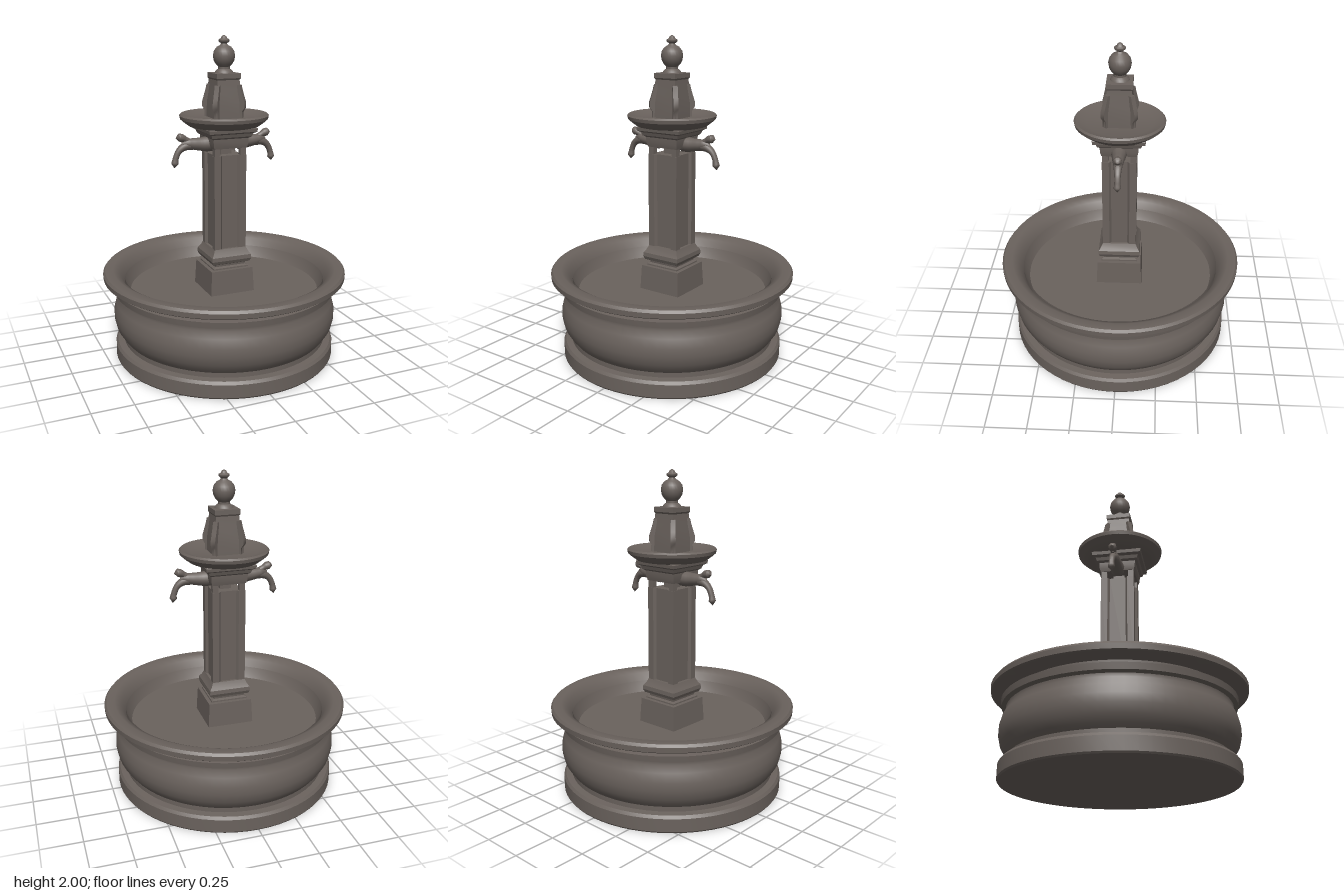
import * as THREE from 'three';
import { toCreasedNormals } from 'three/addons/utils/BufferGeometryUtils.js';

const stone = new THREE.MeshStandardMaterial({ color: 0x6a625d });
stone.name = 'weathered stone';

const v2 = (pts) => pts.map(([x, y]) => new THREE.Vector2(x, y));

function part(name, geometry, crease = 0.6) {
  const mesh = new THREE.Mesh(toCreasedNormals(geometry, crease), stone);
  mesh.name = name;
  return mesh;
}

// Round part turned from [radius, height] pairs
const turned = (name, pts, segments = 48) => part(name, new THREE.LatheGeometry(v2(pts), segments));

// Square part from [half width, height] pairs
function square(name, pts) {
  const g = new THREE.LatheGeometry(v2(pts.map(([h, y]) => [h * Math.SQRT2, y])), 4);
  g.rotateY(Math.PI / 4);
  return part(name, g, 0.5);
}

// Tube along a curve whose radius follows a list of evenly spaced values
function taperedTube(name, points, radii, steps = 24, sides = 10) {
  const curve = new THREE.CatmullRomCurve3(points.map(([x, y]) => new THREE.Vector3(x, y, 0)));
  const g = new THREE.TubeGeometry(curve, steps, 1, sides);
  const p = g.attributes.position;
  const v = new THREE.Vector3();
  for (let i = 0; i < p.count; i++) {
    const t = Math.floor(i / (sides + 1)) / steps;
    const k = Math.min(t * (radii.length - 1), radii.length - 1.0001);
    const a = Math.floor(k);
    const r = THREE.MathUtils.lerp(radii[a], radii[a + 1], k - a);
    const c = curve.getPointAt(t);
    v.fromBufferAttribute(p, i).sub(c).multiplyScalar(r).add(c);
    p.setXYZ(i, v.x, v.y, v.z);
  }
  return part(name, g, 1.2);
}

function createBasin() {
  const basin = new THREE.Group();
  basin.name = 'basin';
  basin.add(
    turned('basinBase', [[0, 0], [0.69, 0], [0.697, 0.01], [0.697, 0.09], [0.685, 0.107], [0.6, 0.115]], 64),
    turned('basinBody', [
      [0.6, 0.108], [0.645, 0.11], [0.645, 0.14], [0.665, 0.165], [0.69, 0.205], [0.703, 0.26],
      [0.702, 0.31], [0.688, 0.365], [0.668, 0.405], [0.67, 0.425], [0.695, 0.435],
      [0.7, 0.472], [0.63, 0.477], [0.632, 0.52]], 64),
    turned('basinRim', [
      [0.62, 0.512], [0.75, 0.512], [0.762, 0.52], [0.764, 0.55], [0.752, 0.565], [0.7, 0.567],
      [0.66, 0.545], [0.632, 0.495]], 64),
    turned('basinInterior', [[0.632, 0.495], [0.612, 0.45], [0.595, 0.425], [0, 0.42]], 64),
  );
  return basin;
}

function createColumn() {
  const column = new THREE.Group();
  column.name = 'column';
  column.add(
    square('plinth', [[0.145, 0.415], [0.137, 0.575], [0.1, 0.578], [0, 0.578]]),
    square('columnFoot', [
      [0.115, 0.57], [0.115, 0.585], [0.098, 0.592], [0.1, 0.605], [0.122, 0.615], [0.131, 0.635],
      [0.129, 0.66], [0.115, 0.68], [0.104, 0.705], [0, 0.705]]),
  );

  // Shaft with a recessed panel on each face
  const outline = [];
  for (let i = 0; i < 4; i++) {
    for (const [x, y] of [[0.104, -0.104], [0.104, -0.062], [0.088, -0.05], [0.088, 0.05], [0.104, 0.062]]) {
      outline.push(new THREE.Vector2(x, y).rotateAround(new THREE.Vector2(), i * Math.PI / 2));
    }
  }
  const shaft = new THREE.ExtrudeGeometry(new THREE.Shape(outline), { depth: 0.59, bevelEnabled: false });
  shaft.rotateX(-Math.PI / 2).translate(0, 0.7, 0);
  column.add(part('shaft', shaft, 0.3));

  // Open gallery between shaft and capital
  const core = part('galleryCore', new THREE.BoxGeometry(0.07, 0.06, 0.07));
  core.position.y = 1.315;
  column.add(core);
  for (const x of [-1, 1]) for (const z of [-1, 1]) {
    const post = part('galleryPost', new THREE.BoxGeometry(0.035, 0.06, 0.035));
    post.position.set(x * 0.084, 1.315, z * 0.084);
    column.add(post);
  }
  column.add(square('capital', [
    [0, 1.335], [0.105, 1.335], [0.112, 1.36], [0.114, 1.395], [0.128, 1.405], [0.135, 1.425],
    [0.153, 1.435], [0.156, 1.455], [0.14, 1.47], [0, 1.47]]));
  return column;
}

function createTop() {
  const top = new THREE.Group();
  top.name = 'top';
  top.add(
    turned('upperBowl', [
      [0, 1.455], [0.19, 1.457], [0.215, 1.463], [0.245, 1.485], [0.268, 1.505], [0.272, 1.525],
      [0.262, 1.535], [0.245, 1.53], [0.2, 1.515], [0, 1.51]]),
    square('pedestal', [
      [0.088, 1.5], [0.086, 1.6], [0.076, 1.68], [0.071, 1.74], [0.077, 1.75], [0.077, 1.778], [0, 1.782]]),
    turned('finial', [
      [0.058, 1.775], [0.052, 1.79], [0.036, 1.802], [0.036, 1.815], [0.05, 1.83], [0.062, 1.852],
      [0.067, 1.88], [0.061, 1.908], [0.044, 1.93], [0.024, 1.94], [0.018, 1.95], [0.032, 1.962],
      [0.033, 1.972], [0.02, 1.98], [0.014, 1.992], [0, 2]], 24),
  );

  // Scroll brackets on the pedestal corners
  const scroll = new THREE.Shape(v2([
    [0.08, 1.51], [0.122, 1.51], [0.122, 1.55], [0.138, 1.575], [0.138, 1.605], [0.127, 1.64],
    [0.115, 1.68], [0.108, 1.71], [0.08, 1.71]]));
  for (let i = 0; i < 4; i++) {
    const g = new THREE.ExtrudeGeometry(scroll, { depth: 0.03, bevelEnabled: false });
    g.translate(0, 0, -0.015);
    const bracket = part('scrollBracket', g);
    bracket.rotation.y = Math.PI / 4 + i * Math.PI / 2;
    top.add(bracket);
  }
  return top;
}

// Animal shaped spout reaching along +x
function createSpout() {
  const spout = new THREE.Group();
  spout.name = 'spout';
  spout.add(
    taperedTube('spoutBody', [[0.08, 1.355], [0.14, 1.355], [0.2, 1.36], [0.25, 1.365], [0.275, 1.36]],
      [0.046, 0.046, 0.04, 0.036, 0.03, 0.012]),
    taperedTube('spoutPipe', [[0.2, 1.355], [0.25, 1.35], [0.29, 1.325], [0.313, 1.28], [0.323, 1.22]],
      [0.03, 0.029, 0.026, 0.022, 0.019, 0.018, 0.018, 0.022, 0.0]),
    taperedTube('spoutHandle', [[0.215, 1.37], [0.25, 1.39], [0.28, 1.403], [0.312, 1.402]],
      [0.02, 0.018, 0.018, 0.024, 0.025, 0.0]),
  );
  return spout;
}

export function createModel() {
  const model = new THREE.Group();
  model.name = 'fountain';
  const leftSpout = createSpout();
  const rightSpout = createSpout();
  leftSpout.name = 'leftSpout';
  rightSpout.name = 'rightSpout';
  rightSpout.rotation.y = Math.PI;
  model.add(createBasin(), createColumn(), createTop(), leftSpout, rightSpout);
  return model;
}
